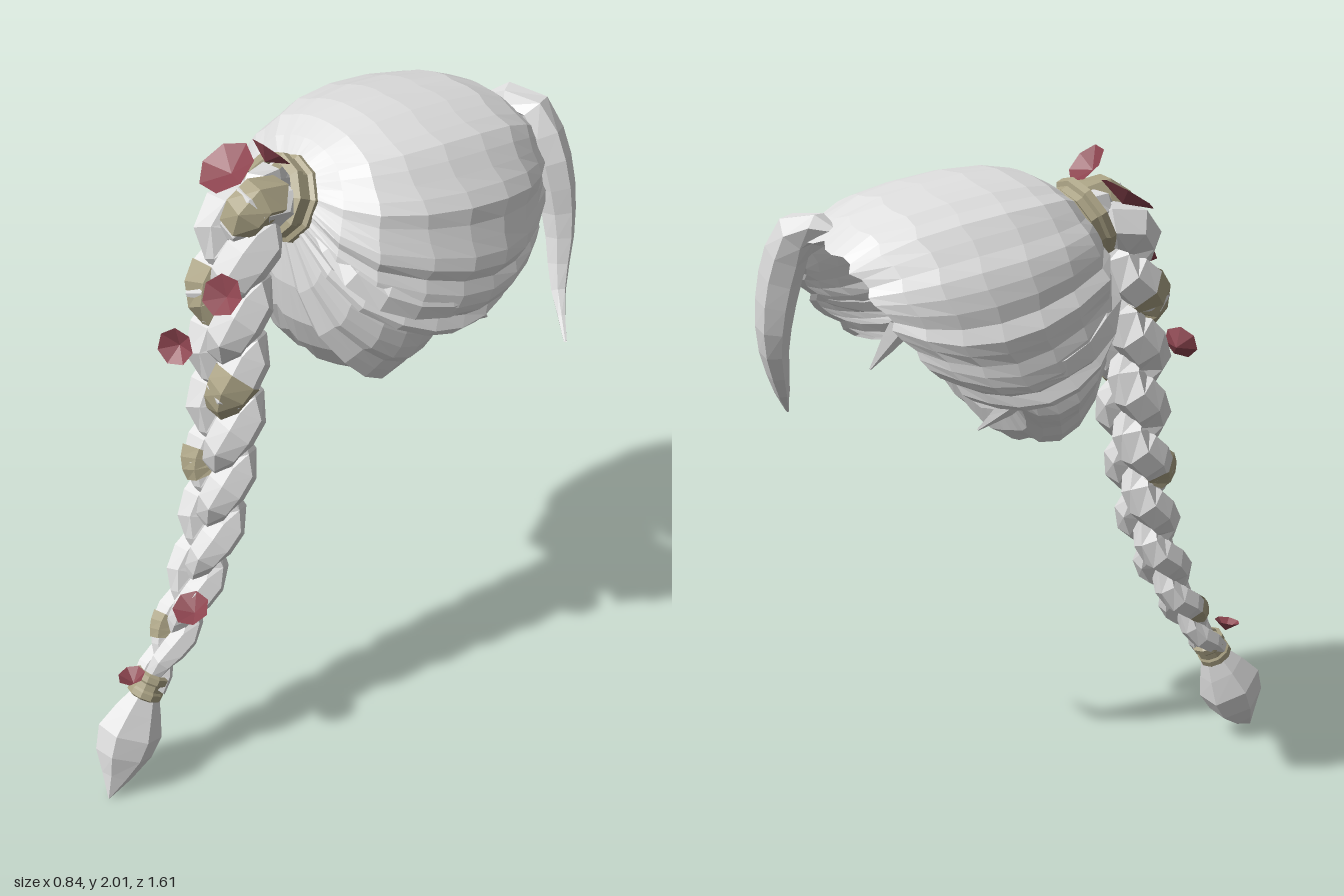
import * as THREE from 'three';

const V = (x, y, z) => new THREE.Vector3(x, y, z);
const curve = (pts) => new THREE.CatmullRomCurve3(pts.map((p) => (p.isVector3 ? p : V(...p))));

// Faceted surface through a series of point rows
function grid(rows, wrap) {
  const pos = [];
  const add = (...ps) => ps.forEach((p) => pos.push(p.x, p.y, p.z));
  for (let i = 0; i + 1 < rows.length; i++) {
    const n = rows[i].length;
    for (let j = 0; j < (wrap ? n : n - 1); j++) {
      const k = (j + 1) % n;
      const a = rows[i][j], b = rows[i][k], c = rows[i + 1][k], d = rows[i + 1][j];
      add(a, b, c, a, c, d);
    }
  }
  const g = new THREE.BufferGeometry();
  g.setAttribute('position', new THREE.Float32BufferAttribute(pos, 3));
  g.computeVertexNormals();
  return g;
}

// Faceted tube along a path function, with width and depth given per position
function loft(path, size, steps, sides, u0 = 0, u1 = 1) {
  const rows = [];
  for (let i = 0; i <= steps; i++) {
    const u = u0 + ((u1 - u0) * i) / steps;
    const c = path(u);
    const t = path(u + 0.004).sub(path(u - 0.004)).normalize();
    const x = V(1, 0, 0).addScaledVector(t, -t.x).normalize();
    const y = t.clone().cross(x);
    const [w, d] = size(u);
    rows.push(Array.from({ length: sides }, (_, j) => {
      const a = (j / sides) * Math.PI * 2;
      return c.clone().addScaledVector(x, Math.cos(a) * w).addScaledVector(y, Math.sin(a) * d);
    }));
  }
  return grid(rows, true);
}

// Path function that continues straight past both ends
function openPath(pts) {
  const c = curve(pts), len = c.getLength();
  return (u) => {
    const k = Math.min(1, Math.max(0, u));
    return c.getPointAt(k).addScaledVector(c.getTangentAt(k), (u - k) * len);
  };
}

// Mirrored hair shell with uneven locks and a thin inner layer; keys run from the middle outwards
function hairShell(keys, perKey, flip) {
  const M = (keys.length - 1) * perKey, rings = 8;
  const centre = V(0, 1.65, -0.28);
  const lines = keys.map((k) => curve(k));
  const outer = [], inner = [];
  for (let i = 0; i <= rings; i++) {
    const s = i / rings, row = [], back = [];
    for (let j = -M; j <= M; j++) {
      const q = Math.abs(j);
      const ridge = 0.024 * Math.sin(q * 1.75 - 1.2) + 0.014 * Math.sin(q * 2.9 + j * 0.2);
      const p = curve(lines.map((l) => l.getPoint(s * (ridge < 0 ? 0.98 : 1)))).getPoint(q / M);
      p.x *= Math.sign(j) * (flip ? -1 : 1);
      const bump = ridge * (flip ? 1 : 0.3 + (0.8 * q) / M) * Math.sin(Math.PI * Math.min(0.75, s * 0.85 + 0.05));
      p.sub(centre).multiplyScalar(1 + bump).add(centre);
      row.push(p);
      back.push(p.clone().lerp(centre, 0.045));
    }
    outer.push(row);
    inner.unshift(back);
  }
  return grid([...outer, ...inner], false);
}

export function createModel() {
  const root = new THREE.Group();
  const mat = (name, color) => new THREE.MeshStandardMaterial({ name, color, side: THREE.DoubleSide });
  const hair = mat('pale hair', 0xdedede);
  const cord = mat('tan cord', 0xaba385);
  const red = mat('red petal', 0x8e4550);
  const add = (name, geo, material) => {
    const m = new THREE.Mesh(geo, material);
    m.name = name;
    root.add(m);
    return m;
  };

  // Swept-back cap: each key is one lock line from the tie to the hairline
  add('hairCap', hairShell([
    [[0, 1.9, 0.03], [0, 1.965, -0.05], [0, 2, -0.19], [0, 1.99, -0.4], [0, 1.95, -0.6], [0, 1.86, -0.73]],
    [[0.06, 1.88, 0.04], [0.14, 1.94, -0.04], [0.19, 1.96, -0.18], [0.2, 1.95, -0.4], [0.18, 1.91, -0.6], [0.14, 1.83, -0.73]],
    [[0.1, 1.84, 0.06], [0.24, 1.85, 0], [0.33, 1.84, -0.17], [0.35, 1.82, -0.4], [0.31, 1.79, -0.58], [0.22, 1.76, -0.7]],
    [[0.11, 1.8, 0.08], [0.28, 1.74, 0.04], [0.39, 1.68, -0.17], [0.41, 1.64, -0.37], [0.36, 1.64, -0.54], [0.28, 1.68, -0.66]],
    [[0.1, 1.76, 0.1], [0.28, 1.64, 0.05], [0.39, 1.55, -0.12], [0.41, 1.5, -0.3], [0.39, 1.52, -0.46], [0.33, 1.57, -0.58]],
    [[0.09, 1.73, 0.11], [0.25, 1.57, 0.07], [0.35, 1.47, -0.06], [0.38, 1.42, -0.2], [0.37, 1.42, -0.34], [0.34, 1.46, -0.45]],
  ], 4, false), hair);

  // Rounded nape hair hanging below the cap
  add('napeHair', hairShell([
    [[0, 1.7, 0.13], [0, 1.5, 0.13], [0, 1.33, 0.06], [0, 1.21, -0.06], [0, 1.2, -0.17], [0, 1.3, -0.23]],
    [[0.06, 1.71, 0.12], [0.17, 1.48, 0.1], [0.24, 1.34, 0], [0.25, 1.27, -0.1], [0.23, 1.28, -0.19], [0.19, 1.36, -0.24]],
    [[0.08, 1.76, 0.1], [0.24, 1.62, 0.05], [0.33, 1.52, -0.08], [0.34, 1.48, -0.2], [0.33, 1.48, -0.3], [0.3, 1.5, -0.35]],
  ], 6, true), hair);

  // Loose forelock and side wisps
  const lockSize = (w, d) => (u) => {
    const k = Math.sin(Math.PI * Math.min(0.98, Math.pow(u, 0.6)));
    return [w * k + 0.001, d * k + 0.001];
  };
  add('forelock', loft(openPath([[0, 1.88, -0.66], [0.12, 1.88, -0.725], [0.2, 1.74, -0.75], [0.25, 1.53, -0.76],
    [0.31, 1.35, -0.71], [0.42, 1.24, -0.64]]), lockSize(0.068, 0.06), 11, 6), hair);
  for (const s of [-1, 1]) {
    add('sideWisp', loft(openPath([[s * 0.34, 1.52, -0.24], [s * 0.34, 1.43, -0.33], [s * 0.31, 1.36, -0.42]]),
      lockSize(0.02, 0.04), 5, 4), hair);
    add('sideLock', loft(openPath([[s * 0.1, 1.77, 0.08], [s * 0.3, 1.62, 0.02], [s * 0.39, 1.53, -0.17],
      [s * 0.39, 1.53, -0.4], [s * 0.32, 1.6, -0.58]]), lockSize(0.022, 0.05), 9, 5), hair);
  }

  // Three-strand braid woven around a drooping spine
  const spine = openPath([[0, 1.81, 0.12], [0, 1.82, 0.2], [0, 1.7, 0.255], [0, 1.55, 0.28], [0, 1.4, 0.29], [0, 1.2, 0.3],
    [0, 1, 0.33], [0, 0.8, 0.37], [0, 0.6, 0.45], [0, 0.45, 0.535], [0, 0.33, 0.615]]);
  const taper = (u) => Math.min(1, 0.8 + u * 3) * (1 - 0.12 * u - 0.46 * Math.pow(u, 3));
  const phase = (u, k) => 2 * Math.PI * (3 * u + k / 3 + 0.19);
  const strandAt = (k) => (u) => {
    const t = phase(u, k), s = taper(u);
    const dir = spine(u + 0.01).sub(spine(u - 0.01)).normalize();
    const p = spine(u).addScaledVector(dir.cross(V(1, 0, 0)), -0.04 * s * Math.sin(2 * t));
    p.x += 0.064 * s * Math.sin(t);
    return p;
  };
  const strandSize = (k, grow) => (u) => {
    const r = taper(u) * (0.056 + 0.022 * Math.pow(Math.sin(phase(u, k)), 2)) * grow;
    return [r, r];
  };
  for (let k = 0; k < 3; k++) add('braidStrand', loft(strandAt(k), strandSize(k, 1), 36, 6), hair);

  // Cord wound round one strand, showing where it crosses the front: place and half length
  for (const [u, half] of [[0.057, 0.022], [0.223, 0.03], [0.39, 0.03], [0.557, 0.017], [0.89, 0.017]]) {
    add('cordWrap', loft(strandAt(0), strandSize(0, 1.05), 3, 6, u - half, u + half), cord);
  }

  // Ridged ties at the top and bottom of the braid
  const tie = (name, r, h, at, axis) => {
    const pts = [[0.8, -0.5], [1, -0.42], [1, -0.2], [0.9, -0.12], [0.9, 0.12], [1, 0.2], [1, 0.42], [0.8, 0.5]];
    const geo = new THREE.LatheGeometry(pts.map(([x, y]) => new THREE.Vector2(x * r, y * h)), 10).toNonIndexed();
    geo.computeVertexNormals();
    const m = add(name, geo, cord);
    m.position.set(...at);
    m.quaternion.setFromUnitVectors(V(0, 1, 0), V(...axis).normalize());
  };
  tie('topTie', 0.128, 0.095, [0, 1.805, 0.105], [0, 0.42, 0.9]);
  tie('bottomTie', 0.054, 0.085, [0, 0.335, 0.615], [0, 0.85, -0.5]);

  // Pointed tuft below the bottom tie
  const tuftRadius = curve([[0.035, 0, 0], [0.068, 0, 0], [0.095, 0, 0], [0.083, 0, 0], [0.045, 0, 0], [0.002, 0, 0]]);
  add('tuft', loft(openPath([[0, 0.32, 0.62], [0, 0.19, 0.69], [0.01, 0.1, 0.735], [0.03, 0.005, 0.8]]),
    (u) => { const r = tuftRadius.getPoint(u).x; return [r * 0.92, r * 1.12]; }, 5, 6), hair);

  // Cupped petals: position, facing, width, length
  const petals = [
    [[-0.1, 1.88, 0.2], [0, 0.8, 0.55], 0.088, 0.088],
    [[0.02, 1.955, 0.155], [0, 0.7, -0.7], 0.06, 0.068],
    [[0.11, 1.64, 0.385], [0.3, 0.6, 0.75], 0.062, 0.06],
    [[-0.08, 1.4, 0.41], [0.45, 0.3, 0.85], 0.056, 0.055],
    [[0.09, 0.61, 0.51], [0.1, 0.87, 0.5], 0.06, 0.056],
    [[0.01, 0.39, 0.68], [0, 1, 0.2], 0.04, 0.042],
  ];
  petals.forEach(([at, facing, w, l], i) => {
    const geo = new THREE.ConeGeometry(1, 0.25, 7, 1, true, i).toNonIndexed();
    geo.computeVertexNormals();
    const m = add('petal', geo.rotateX(Math.PI), red);
    m.scale.set(w, 0.13, l);
    m.position.set(...at);
    m.quaternion.setFromUnitVectors(V(0, 1, 0), V(...facing).normalize());
  });
  return root;
}
